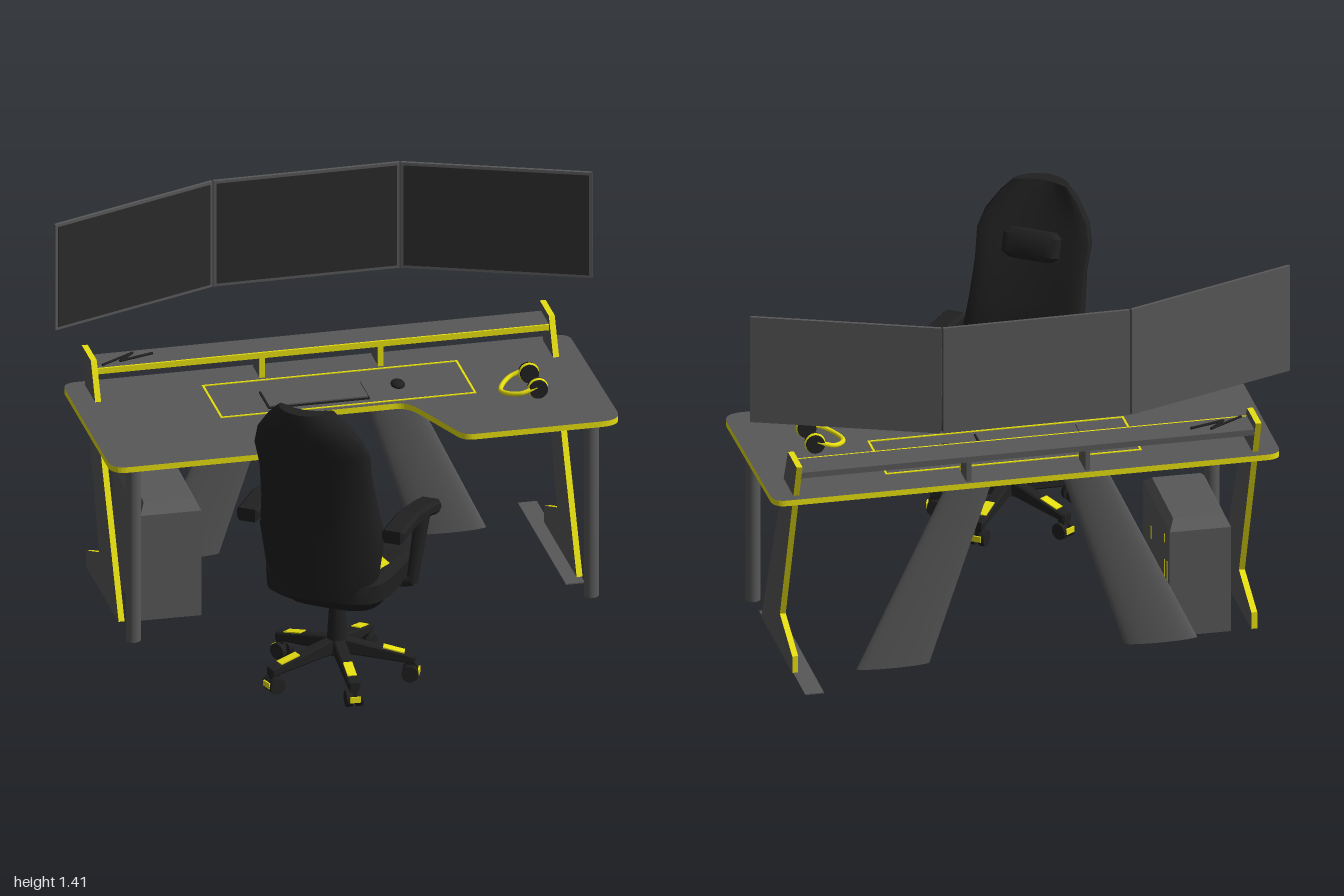
import * as THREE from 'three';
import { toCreasedNormals } from 'three/addons/utils/BufferGeometryUtils.js';

const mat = (name, color) => {
  const m = new THREE.MeshStandardMaterial({ color });
  m.name = name;
  return m;
};
const V = (x, y, z) => new THREE.Vector3(x, y, z);

export function createModel() {
  const grey = mat('deskGrey', 0x585858);
  const yellow = mat('accentYellow', 0xe8e010);
  const black = mat('chairBlack', 0x202020);
  const screenMat = mat('screenDark', 0x2b2b2b);
  const model = new THREE.Group();

  const add = (parent, name, geo, material, x = 0, y = 0, z = 0) => {
    const m = new THREE.Mesh(geo, material);
    m.name = name;
    m.position.set(x, y, z);
    parent.add(m);
    return m;
  };
  const box = (parent, name, material, w, h, d, x, y, z) =>
    add(parent, name, new THREE.BoxGeometry(w, h, d), material, x, y, z);
  const group = (name, parent = model) => {
    const g = new THREE.Group();
    g.name = name;
    parent.add(g);
    return g;
  };
  // Tapered rod between two points
  const rod = (parent, name, material, a, b, ra, rb, sides = 12) => {
    const geo = new THREE.CylinderGeometry(rb, ra, a.distanceTo(b), sides);
    const m = add(parent, name, geo, material);
    m.position.copy(a).add(b).multiplyScalar(0.5);
    m.quaternion.setFromUnitVectors(V(0, 1, 0), b.clone().sub(a).normalize());
    return m;
  };
  // Profile of [z, y] points extruded along x, centred on x = 0
  const sideProfile = (pts, width, bevel = 0) => {
    const shape = new THREE.Shape(pts.map(([z, y]) => new THREE.Vector2(-z, y)));
    const geo = new THREE.ExtrudeGeometry(shape, {
      depth: width - 2 * bevel, bevelEnabled: bevel > 0, bevelSize: bevel,
      bevelThickness: bevel, bevelSegments: 1, bevelOffset: -bevel });
    return geo.translate(0, 0, bevel - width / 2).rotateY(Math.PI / 2);
  };
  // Stacked rings [y, x, z, halfWidth, halfDepth]; power < 1 squares them, dish bends the sides forward
  const loft = (rings, { power = 1, dish = 0, n = 24, crease = 0.7 } = {}) => {
    const pos = [], idx = [];
    const sp = (v) => Math.sign(v) * Math.abs(v) ** power;
    for (const [y, x, z, w, d] of rings) {
      for (let i = 0; i < n; i++) {
        const a = (i / n) * Math.PI * 2, c = sp(Math.cos(a));
        pos.push(x + w * c, y, z + d * sp(Math.sin(a)) + dish * c * c);
      }
    }
    const last = rings.length - 1;
    for (const r of [0, last]) pos.push(rings[r][1], rings[r][0], rings[r][2]);
    const cb = (last + 1) * n;
    for (let i = 0; i < n; i++) {
      const j = (i + 1) % n;
      for (let r = 0; r < last; r++) {
        const a = r * n + i, b = r * n + j;
        idx.push(a, a + n, b, b, a + n, b + n);
      }
      idx.push(cb, i, j, cb + 1, last * n + j, last * n + i);
    }
    const geo = new THREE.BufferGeometry();
    geo.setAttribute('position', new THREE.Float32BufferAttribute(pos, 3));
    geo.setIndex(idx);
    return toCreasedNormals(geo.toNonIndexed(), crease);
  };

  // ---- Desk ----
  const desk = group('desk');
  desk.rotation.y = 0.0125;
  const top = new THREE.Shape();
  top.moveTo(-0.87, -0.045);
  top.lineTo(-0.39, -0.045);
  top.quadraticCurveTo(-0.355, -0.045, -0.34, 0);
  top.lineTo(-0.26, 0.215);
  top.quadraticCurveTo(-0.24, 0.278, -0.19, 0.278);
  top.lineTo(0.19, 0.278);
  top.quadraticCurveTo(0.24, 0.278, 0.265, 0.215);
  top.lineTo(0.35, 0);
  top.quadraticCurveTo(0.365, -0.05, 0.41, -0.05);
  top.lineTo(0.88, -0.05);
  top.quadraticCurveTo(0.955, -0.05, 0.955, 0.02);
  top.lineTo(0.945, 0.68);
  top.quadraticCurveTo(0.945, 0.733, 0.89, 0.733);
  top.lineTo(-0.88, 0.733);
  top.quadraticCurveTo(-0.935, 0.733, -0.935, 0.68);
  top.lineTo(-0.935, 0.02);
  top.quadraticCurveTo(-0.935, -0.045, -0.87, -0.045);
  const topGeo = new THREE.ExtrudeGeometry(top, { depth: 0.022, bevelEnabled: false, curveSegments: 8 });
  add(desk, 'desktop', topGeo.rotateX(-Math.PI / 2), [grey, yellow], 0, 0.703, 0);

  // Zigzag end panels with yellow edges, floor plates and front posts
  const panel = [[-0.18, 0.015], [-0.61, 0.86], [-0.75, 0.86], [-0.48, 0.16], [-0.68, 0.08], [-0.68, 0.015]];
  for (const x of [-0.845, 0.853]) {
    add(desk, 'endPanel', sideProfile(panel, 0.022), [grey, yellow], x, 0, 0);
    rod(desk, 'frontPost', grey, V(x + 0.005, 0.012, -0.02), V(x + 0.005, 0.704, -0.02), 0.027, 0.027, 20);
  }
  box(desk, 'floorPlate', grey, 0.07, 0.004, 0.74, 0.825, 0.013, -0.5);

  // Splayed middle legs
  for (const s of [-1, 1]) {
    add(desk, 'middleLeg', loft([[0.012, s * 0.495, -0.695, 0.135, 0.02], [0.704, s * 0.215, -0.695, 0.085, 0.02]]), grey);
    box(desk, 'shelfDivider', grey, 0.018, 0.085, 0.1, s * 0.22, 0.766, -0.67);
    box(desk, 'dividerEdge', yellow, 0.02, 0.085, 0.008, s * 0.22, 0.766, -0.617);
  }
  // Raised shelf
  box(desk, 'shelf', grey, 1.68, 0.022, 0.12, 0.004, 0.817, -0.67);
  box(desk, 'shelfEdge', yellow, 1.68, 0.022, 0.008, 0.004, 0.817, -0.607);

  // Desk mat outline, keyboard, mouse
  for (const z of [-0.59, -0.302]) box(desk, 'matEdge', yellow, 0.948, 0.004, 0.008, 0.025, 0.726, z);
  for (const x of [-0.445, 0.495]) box(desk, 'matEdge', yellow, 0.008, 0.004, 0.29, x, 0.726, -0.446);
  box(desk, 'keyboardBase', black, 0.376, 0.006, 0.146, -0.075, 0.728, -0.41);
  box(desk, 'keyboardTop', grey, 0.366, 0.006, 0.136, -0.075, 0.733, -0.41);
  add(desk, 'mouse', new THREE.SphereGeometry(1, 16, 10).scale(0.026, 0.014, 0.037), black, 0.24, 0.73, -0.435);
  const strokes = [V(-0.81, 0.834, -0.62), V(-0.68, 0.834, -0.7), V(-0.74, 0.834, -0.64), V(-0.61, 0.834, -0.68)];
  for (let i = 0; i < 3; i++) rod(desk, 'shelfTrinket', black, strokes[i], strokes[i + 1], 0.005, 0.005, 6);

  // Headphones
  const phones = group('headphones', desk);
  const band = new THREE.CatmullRomCurve3([V(0.7, 0.772, -0.362), V(0.635, 0.75, -0.358), V(0.585, 0.735, -0.28),
    V(0.635, 0.75, -0.202), V(0.7, 0.772, -0.198)]);
  add(phones, 'headBand', new THREE.TubeGeometry(band, 24, 0.009, 8), yellow);
  for (const z of [-0.35, -0.21]) {
    add(phones, 'earCup', new THREE.CylinderGeometry(0.034, 0.034, 0.04, 18).rotateX(Math.PI / 2), black, 0.705, 0.763, z);
    add(phones, 'earRing', new THREE.TorusGeometry(0.031, 0.008, 8, 20), yellow, 0.705, 0.763, z);
  }

  // ---- Computer case ----
  const pc = group('computerCase');
  add(pc, 'caseBody', loft([[0.003, -0.66, -0.417, 0.155, 0.322], [0.415, -0.66, -0.417, 0.155, 0.322], [0.448, -0.66, -0.417, 0.127, 0.285]]
    .map(([y, x, z, w, d]) => [y, 0, 0, w, d]), { n: 4, crease: 0.1 }), grey).visible = true;
  pc.children[0].geometry.dispose();
  // Square rings: corner ring turned by an eighth, then stretched to the case footprint
  const frustum = (y0, y1, r0, r1) => new THREE.CylinderGeometry(r1, r0, y1 - y0, 4, 1).toNonIndexed()
    .rotateY(Math.PI / 4).scale(0.113 * Math.SQRT2, 1, 0.227 * Math.SQRT2).translate(0, (y0 + y1) / 2, 0);
  const flat = (g) => toCreasedNormals(g, 0.05);
  pc.clear();
  add(pc, 'caseBody', flat(frustum(0.002, 0.415, 1, 1)), grey, -0.66, 0, -0.417);
  add(pc, 'caseTop', flat(frustum(0.415, 0.448, 1, 0.8)), grey, -0.66, 0, -0.417);
  for (const [z, y0, y1] of [[-0.6, 0.12, 0.28], [-0.56, 0.2, 0.27], [-0.56, 0.34, 0.37], [-0.33, 0.25, 0.3]])
    box(pc, 'caseStripe', yellow, 0.004, y1 - y0, 0.01, -0.547, (y0 + y1) / 2, z);

  // ---- Three angled monitors ----
  const corners = [[-1, -0.597], [-0.357, -0.851], [0.34, -0.865], [0.998, -0.62]];
  for (let i = 0; i < 3; i++) {
    const [[x1, z1], [x2, z2]] = [corners[i], corners[i + 1]];
    const len = Math.hypot(x2 - x1, z2 - z1) - 0.006;
    const g = group('monitor');
    g.position.set((x1 + x2) / 2, 1.203, (z1 + z2) / 2);
    g.rotation.y = -Math.atan2(z2 - z1, x2 - x1);
    box(g, 'monitorCase', grey, len, 0.416, 0.012, 0, 0, 0);
    box(g, 'screen', screenMat, len - 0.022, 0.394, 0.004, 0, 0, 0.006);
  }

  // ---- Chair ----
  const chair = group('chair');
  chair.position.set(-0.195, 0, 0.47);
  const seat = group('chairUpper', chair);
  seat.rotation.y = 2.553;
  add(seat, 'backrest', loft([
    [0.41, 0, -0.2, 0.17, 0.04], [0.5, 0, -0.195, 0.215, 0.06], [0.65, 0, -0.195, 0.238, 0.07],
    [0.78, 0, -0.225, 0.222, 0.065], [0.92, 0, -0.265, 0.215, 0.055], [1.02, 0, -0.3, 0.222, 0.05],
    [1.09, 0, -0.33, 0.2, 0.045], [1.16, 0, -0.355, 0.15, 0.042], [1.205, 0, -0.365, 0.105, 0.028]],
  { power: 0.75, dish: 0.05 }), black);
  const pillow = add(seat, 'headPillow', loft([[-0.055, 0, 0, 0.08, 0.018], [-0.035, 0, 0, 0.11, 0.034],
    [0.035, 0, 0, 0.11, 0.034], [0.055, 0, 0, 0.09, 0.018]], { power: 0.6 }), black, 0, 0.995, -0.225);
  pillow.rotation.x = -0.3;
  const lumbar = add(seat, 'lumbarPillow', loft([[-0.06, 0, 0, 0.11, 0.02], [-0.035, 0, 0, 0.13, 0.04],
    [0.035, 0, 0, 0.13, 0.04], [0.06, 0, 0, 0.11, 0.02]], { power: 0.6 }), black, 0, 0.64, -0.12);
  lumbar.rotation.x = -0.15;
  add(seat, 'seatCushion', loft([[0.375, 0, 0.04, 0.2, 0.22], [0.4, 0, 0.04, 0.235, 0.25],
    [0.47, 0, 0.03, 0.238, 0.245], [0.495, 0, 0.01, 0.215, 0.215]], { power: 0.5, n: 32 }), black);
  add(seat, 'seatPan', loft([[0.31, 0, 0.06, 0.13, 0.13], [0.33, 0, 0.06, 0.17, 0.17],
    [0.38, 0, 0.05, 0.2, 0.22]], { power: 0.5 }), black);

  const arm = [[-0.18, 0.655], [-0.18, 0.705], [-0.02, 0.715], [0.12, 0.695], [0.21, 0.675], [0.225, 0.64],
    [0.19, 0.625], [0.1, 0.65], [-0.04, 0.662]];
  for (const s of [-1, 1]) {
    add(seat, 'armrest', sideProfile(arm, 0.085, 0.012), black, s * 0.28, 0, 0);
    rod(seat, 'armPost', black, V(s * 0.265, 0.4, 0.06), V(s * 0.28, 0.65, 0.13), 0.022, 0.03, 8);
    rod(seat, 'armBracket', black, V(s * 0.15, 0.385, 0.06), V(s * 0.272, 0.41, 0.06), 0.022, 0.022, 8);
    // Yellow seat wedges
    const wedge = new THREE.Shape([[0.205, 0.01], [0.09, -0.1], [0.09, 0.025], [0.175, 0.13]]
      .map(([x, y]) => new THREE.Vector2(s * x, y)));
    const geo = new THREE.ExtrudeGeometry(wedge, { depth: 0.006, bevelEnabled: false }).rotateX(-Math.PI / 2);
    add(seat, 'seatWedge', geo, yellow, 0, 0.492, 0);
  }

  // Gas column and five-spoke wheeled base
  const base = group('chairBase', chair);
  rod(base, 'columnSleeve', black, V(0, 0.11, 0), V(0, 0.29, 0), 0.042, 0.03, 16);
  rod(base, 'columnTop', black, V(0, 0.28, 0), V(0, 0.36, 0), 0.02, 0.02, 16);
  for (let i = 0; i < 5; i++) {
    const spoke = group('spoke', base);
    spoke.rotation.y = (i / 5) * Math.PI * 2;
    add(spoke, 'spokeArm', sideProfile([[0.01, 0.115], [0.01, 0.175], [0.2, 0.13], [0.285, 0.11], [0.285, 0.08], [0.2, 0.09]],
      0.045, 0.006), black);
    const plate = box(spoke, 'spokePlate', yellow, 0.034, 0.006, 0.08, 0, 0.13, 0.205);
    plate.rotation.x = 0.235;
    for (const s of [-1, 1])
      add(spoke, 'casterWheel', new THREE.CylinderGeometry(0.031, 0.031, 0.022, 14).rotateZ(Math.PI / 2), black, s * 0.019, 0.043, 0.265);
    box(spoke, 'casterFork', black, 0.03, 0.05, 0.03, 0, 0.075, 0.265);
    box(spoke, 'casterBadge', yellow, 0.04, 0.022, 0.006, 0, 0.048, 0.296);
  }
  return model;
}
